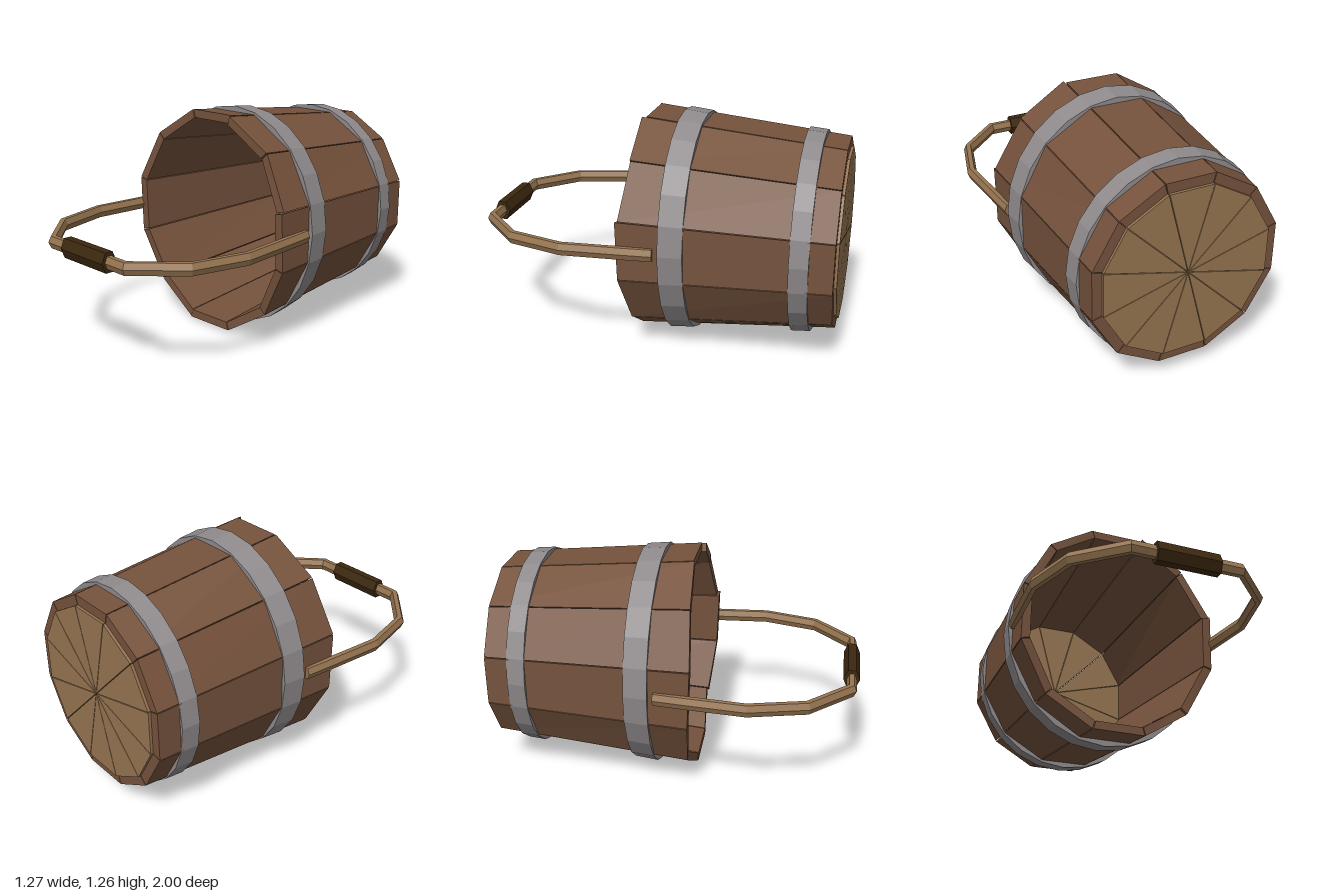
import * as THREE from 'three';

const CY = 0.635; // height of the bucket axis
const mat = (name, color) => Object.assign(new THREE.MeshStandardMaterial({ color, flatShading: true }), { name });

// Skin a list of equal rings; either capped at both ends or joined into a loop.
function loft(rings, closed = false) {
  const tris = [];
  const n = rings[0].length, m = rings.length;
  for (let i = 0; i < (closed ? m : m - 1); i++) {
    const a = rings[i], b = rings[(i + 1) % m];
    for (let j = 0; j < n; j++) {
      const k = (j + 1) % n;
      tris.push([a[j], b[j], b[k]], [a[j], b[k], a[k]]);
    }
  }
  if (!closed) {
    for (let j = 1; j < n - 1; j++) {
      const a = rings[0], b = rings[m - 1];
      tris.push([a[0], a[j], a[j + 1]], [b[0], b[j + 1], b[j]]);
    }
  }
  // Turn the faces outward if the enclosed volume is negative.
  let volume = 0;
  const c = new THREE.Vector3();
  for (const [p, q, r] of tris) volume += p.dot(c.crossVectors(q, r));
  const pts = tris.flatMap(([p, q, r]) => (volume < 0 ? [p, r, q] : [p, q, r]));
  const geo = new THREE.BufferGeometry().setFromPoints(pts);
  geo.computeVertexNormals();
  return geo;
}

// Point on a twelve-sided, slightly oval barrel; s runs -1..1 across one side.
const TAN = Math.tan(Math.PI / 12);
function onBarrel(angle, s, rx, ry, z) {
  const c = Math.cos(angle), n = Math.sin(angle), t = s * TAN;
  return new THREE.Vector3(rx * (c - t * n), CY + ry * (n + t * c), z);
}

// Six-sided bar swept along a path in the horizontal plane.
function bar(path, point, flat, halfHeight) {
  const pts = path.map(([x, z]) => new THREE.Vector2(x, z));
  const section = [[point, 0], [flat, halfHeight], [-flat, halfHeight],
    [-point, 0], [-flat, -halfHeight], [flat, -halfHeight]];
  return loft(pts.map((p, i) => {
    const d0 = p.clone().sub(pts[Math.max(i - 1, 0)]).normalize();
    const d1 = pts[Math.min(i + 1, pts.length - 1)].clone().sub(p).normalize();
    const d = d0.clone().add(d1).normalize();
    const miter = 1 / Math.max(d.dot(d1.lengthSq() ? d1 : d0), 0.5);
    return section.map(([u, v]) => new THREE.Vector3(p.x - d.y * u * miter, CY + v, p.y + d.x * u * miter));
  }));
}

export function createModel() {
  const model = new THREE.Group();
  model.name = 'bucket';
  const brown = mat('brown stave wood', 0x75523c);
  const tan = mat('light wood', 0x957450);
  const grey = mat('grey metal', 0x8f8a8c);
  const dark = mat('dark grip', 0x3d280f);
  const add = (name, geo, material) => {
    const mesh = new THREE.Mesh(geo, material);
    mesh.name = name;
    model.add(mesh);
  };

  // Uneven front ends of the staves, at both edges of each
  const ends = [[0.13, 0.14], [0.125, 0.095], [0.10, 0.11], [0.085, 0.085], [0.09, 0.11], [0.11, 0.13],
    [0.13, 0.12], [0.12, 0.10], [0.10, 0.115], [0.12, 0.115], [0.115, 0.09], [0.10, 0.13]];
  const S = 0.983;
  ends.forEach(([z0, z1], i) => {
    const a = i * Math.PI / 6;
    const ring = (ox, oy, ix, iy, za, zb) => [
      onBarrel(a, -S, ox, oy, za), onBarrel(a, S, ox, oy, zb),
      onBarrel(a, S, ix, iy, zb), onBarrel(a, -S, ix, iy, za)];
    add('stave', loft([ring(0.57, 0.616, 0.52, 0.57, z0, z1),
      ring(0.512, 0.512, 0.456, 0.456, -0.985, -0.985)]), brown);

    // Wedge of the bucket floor
    const wedge = z => [onBarrel(a, 0, 0.006, 0.006, z),
      onBarrel(a, -S, 0.459, 0.459, z), onBarrel(a, S, 0.459, 0.459, z)];
    add('floorWedge', loft([wedge(-0.96), wedge(-1)]), tan);
  });

  // Metal hoops: [front z, rx, ry], [back z, rx, ry]
  const hoops = [
    [[-0.09, 0.585, 0.632], [-0.22, 0.573, 0.618]],
    [[-0.76, 0.545, 0.565], [-0.86, 0.535, 0.557]],
  ];
  for (const [f, b] of hoops) {
    const rings = [];
    for (let i = 0; i < 24; i++) {
      const a = i * Math.PI / 12;
      const at = ([z, rx, ry], inset) =>
        new THREE.Vector3((rx - inset) * Math.cos(a), CY + (ry - inset) * Math.sin(a), z);
      rings.push([at(f, 0), at(b, 0), at(b, 0.035), at(f, 0.035)]);
    }
    add('hoop', loft(rings, true), grey);
  }

  // Swinging handle and its grip
  const half = [[0.565, -0.06], [0.58, 0.1], [0.606, 0.43], [0.525, 0.735], [0.298, 0.955]];
  const path = [...half, ...half.map(([x, z]) => [-x, z]).reverse()];
  add('handle', bar(path, 0.027, 0.013, 0.033), tan);
  add('grip', bar([[0.172, 0.955], [-0.172, 0.955]], 0.045, 0.022, 0.053), dark);
  return model;
}
